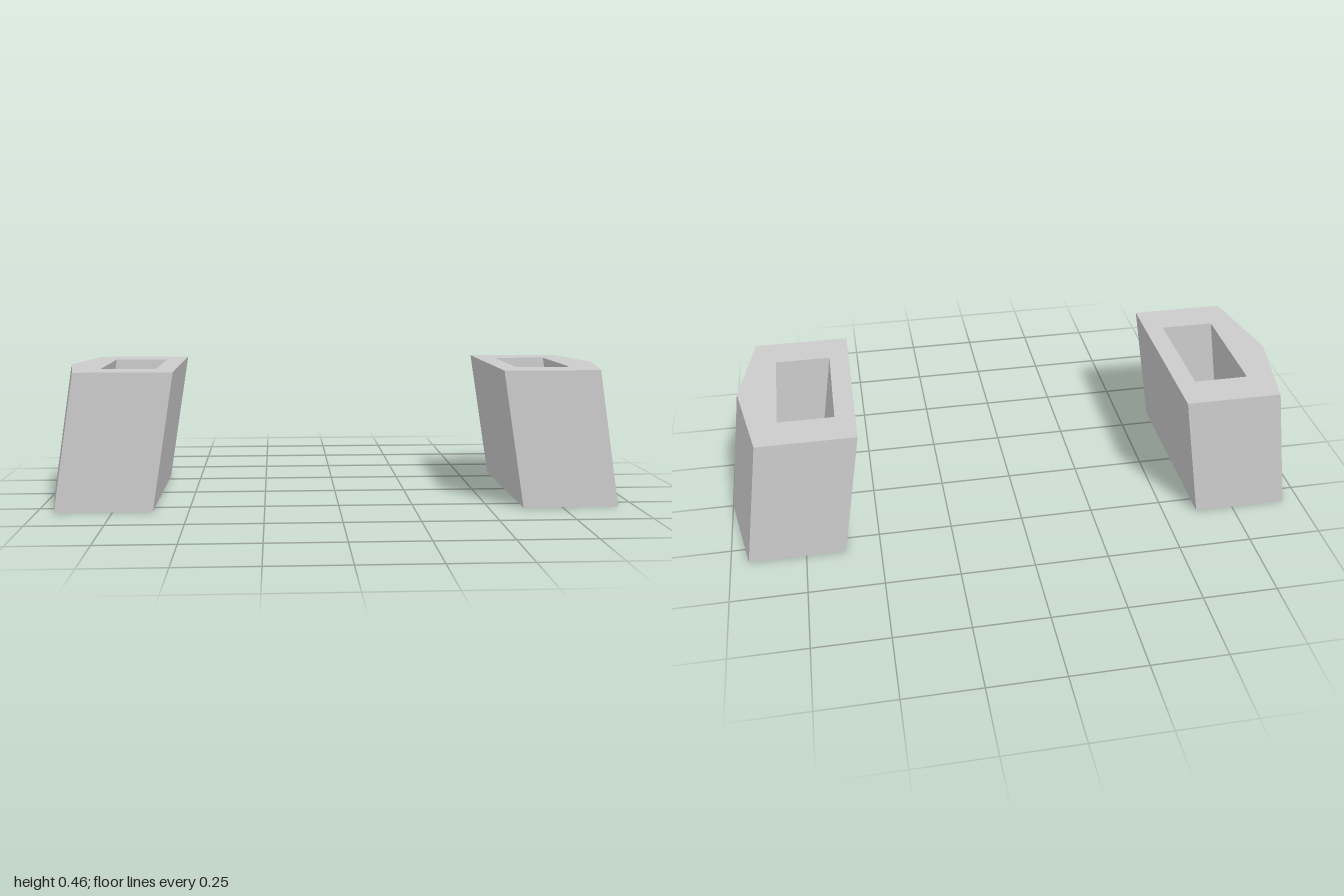
import * as THREE from 'three';

const HEIGHT = 0.462;
const LEAN = 0.075; // how far the top shifts towards the centre

// Five-sided block with a rectangular through-hole, leaning inwards
function blockGeometry() {
  const outline = new THREE.Shape([
    [0.618, -0.318], [0.941, -0.318], [1.0, 0], [0.941, 0.318], [0.618, 0.318],
  ].map(([x, z]) => new THREE.Vector2(x, z)));
  outline.holes.push(new THREE.Path([
    [0.685, -0.19], [0.685, 0.19], [0.87, 0.19], [0.87, -0.19],
  ].map(([x, z]) => new THREE.Vector2(x, z))));

  const geometry = new THREE.ExtrudeGeometry(outline, { depth: HEIGHT, bevelEnabled: false });
  geometry.rotateX(-Math.PI / 2);

  // Shear towards the centre with height
  const position = geometry.attributes.position;
  for (let i = 0; i < position.count; i++) {
    position.setX(i, position.getX(i) - LEAN * position.getY(i) / HEIGHT);
  }
  geometry.computeVertexNormals();
  return geometry;
}

export function createModel() {
  const model = new THREE.Group();
  model.name = 'slantedBlockPair';
  const material = new THREE.MeshStandardMaterial({ color: 0xcccccc, flatShading: true });
  const geometry = blockGeometry();

  // The block is symmetric front to back, so a half turn gives its mirror image
  for (const [name, turn] of [['leftBlock', 0], ['rightBlock', Math.PI]]) {
    const block = new THREE.Mesh(geometry, material);
    block.name = name;
    block.rotation.y = turn;
    model.add(block);
  }
  return model;
}
